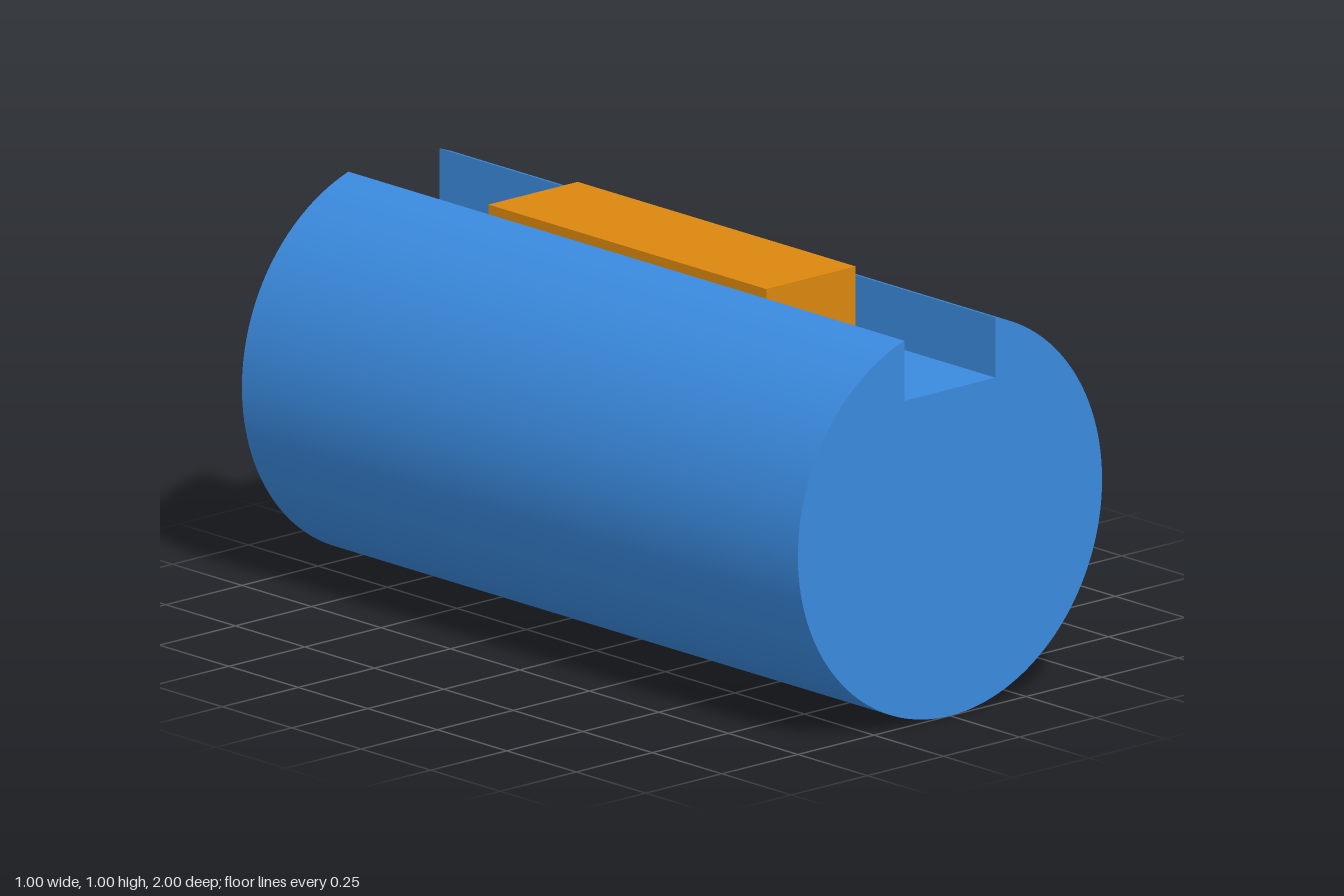
import * as THREE from 'three';
import { toCreasedNormals } from 'three/addons/utils/BufferGeometryUtils.js';

const RADIUS = 0.5, LENGTH = 2;
const SLOT_HALF = 0.15, SLOT_FLOOR = 0.825;
const KEY_WIDTH = 0.294, KEY_LENGTH = 1;

export function createModel() {
  const model = new THREE.Group();
  model.name = 'keyedShaft';

  const blue = new THREE.MeshStandardMaterial({ color: 0x3a8ade });
  blue.name = 'shaft blue';
  const orange = new THREE.MeshStandardMaterial({ color: 0xdb870e });
  orange.name = 'key orange';

  // Round shaft with a rectangular keyway along its whole top
  const edge = Math.acos(SLOT_HALF / RADIUS);
  const profile = new THREE.Shape();
  profile.moveTo(-SLOT_HALF, SLOT_FLOOR);
  profile.lineTo(SLOT_HALF, SLOT_FLOOR);
  profile.lineTo(SLOT_HALF, RADIUS + RADIUS * Math.sin(edge));
  profile.absarc(0, RADIUS, RADIUS, edge, Math.PI - edge, true);
  profile.closePath();
  const extruded = new THREE.ExtrudeGeometry(profile, {
    depth: LENGTH, bevelEnabled: false, curveSegments: 96,
  });
  extruded.translate(0, 0, -LENGTH / 2);
  const shaft = new THREE.Mesh(toCreasedNormals(extruded, 0.5), blue);
  shaft.name = 'shaft';
  model.add(shaft);

  // Key resting on the keyway floor, slightly narrower than the slot
  const keyHeight = 2 * RADIUS - SLOT_FLOOR;
  const key = new THREE.Mesh(new THREE.BoxGeometry(KEY_WIDTH, keyHeight, KEY_LENGTH), orange);
  key.name = 'key';
  key.position.y = SLOT_FLOOR + keyHeight / 2;
  model.add(key);

  return model;
}
